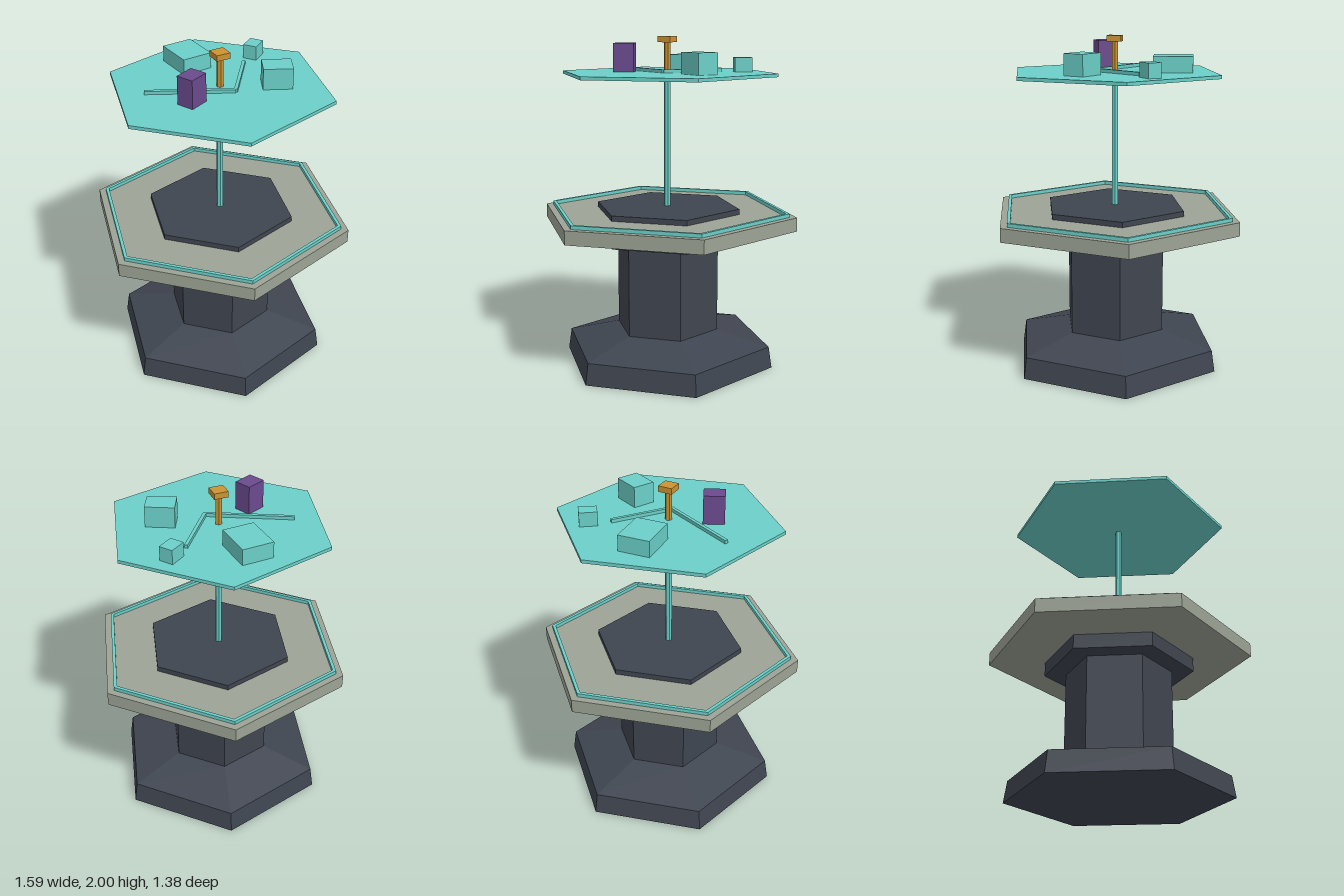
import * as THREE from 'three';

const material = (name, color) => {
  const m = new THREE.MeshStandardMaterial({ color, flatShading: true });
  m.name = name;
  return m;
};

export function createModel() {
  const dark = material('dark slate', 0x3f4550);
  const stone = material('grey stone', 0x9ca395);
  const teal = material('teal', 0x6bcfc8);
  const gold = material('gold', 0xcb9333);
  const purple = material('purple', 0x6a4a8e);

  const model = new THREE.Group();
  model.name = 'tacticalTable';

  const add = (name, geometry, mat, x = 0, y = 0, z = 0, turn = 0) => {
    const mesh = new THREE.Mesh(geometry, mat);
    mesh.name = name;
    mesh.position.set(x, y, z);
    mesh.rotation.y = turn;
    model.add(mesh);
    return mesh;
  };

  // Prism between two heights; corners point along x
  const prism = (name, mat, y0, y1, rBottom, rTop = rBottom, sides = 6) =>
    add(name, new THREE.CylinderGeometry(rTop, rBottom, y1 - y0, sides, 1, false, Math.PI / 2),
      mat, 0, (y0 + y1) / 2, 0);

  // Pedestal
  prism('foot', dark, 0, 0.13, 0.665, 0.645);
  prism('footSlope', dark, 0.13, 0.215, 0.645, 0.32);
  prism('column', dark, 0.215, 0.78, 0.32);
  prism('collar', dark, 0.78, 0.865, 0.45);

  // Table top with raised centre plate
  prism('tableTop', stone, 0.865, 0.948, 0.797);
  prism('centrePlate', dark, 0.948, 0.98, 0.45);

  // Hexagonal glowing trim
  const hexPoints = (r) => Array.from({ length: 6 }, (_, i) =>
    new THREE.Vector2(r * Math.cos(i * Math.PI / 3), r * Math.sin(i * Math.PI / 3)));
  const ring = new THREE.Shape(hexPoints(0.752));
  ring.holes.push(new THREE.Path(hexPoints(0.73)));
  const trim = new THREE.ExtrudeGeometry(ring, { depth: 0.024, bevelEnabled: false });
  trim.rotateX(-Math.PI / 2);
  add('tableTrim', trim, teal, 0, 0.946, 0);

  // Projector beam and floating map slab
  prism('beam', teal, 0.98, 1.77, 0.02);
  prism('mapSlab', teal, 1.77, 1.79, 0.665);

  // Blocks standing on the map: name, material, width, height, depth, x, z, turn
  const floor = 1.79;
  const blocks = [
    ['largeBlock', teal, 0.234, 0.095, 0.186, -0.265, -0.222, -0.71],
    ['mediumBlock', teal, 0.17, 0.125, 0.134, 0.303, -0.11, 0.34],
    ['smallBlock', teal, 0.083, 0.085, 0.105, 0.078, -0.446, -0.16],
    ['purpleTower', purple, 0.104, 0.17, 0.123, -0.089, 0.24, -0.35],
  ];
  for (const [name, mat, w, h, d, x, z, turn] of blocks) {
    add(name, new THREE.BoxGeometry(w, h, d), mat, x, floor + h / 2, z, turn);
  }

  // Low path strips joining at a corner
  const path = [[0.053, -0.321], [0.107, 0.05], [-0.376, 0.213]];
  for (let i = 0; i < 2; i++) {
    const [x0, z0] = path[i];
    const [x1, z1] = path[i + 1];
    const length = Math.hypot(x1 - x0, z1 - z0);
    add('pathStrip', new THREE.BoxGeometry(length, 0.02, 0.02), teal,
      (x0 + x1) / 2, floor + 0.01, (z0 + z1) / 2, -Math.atan2(z1 - z0, x1 - x0));
  }

  // Gold marker
  prism('markerPost', gold, floor, 1.965, 0.02);
  prism('markerCap', gold, 1.965, 2.0, 0.06, 0.06, 4);

  return model;
}
